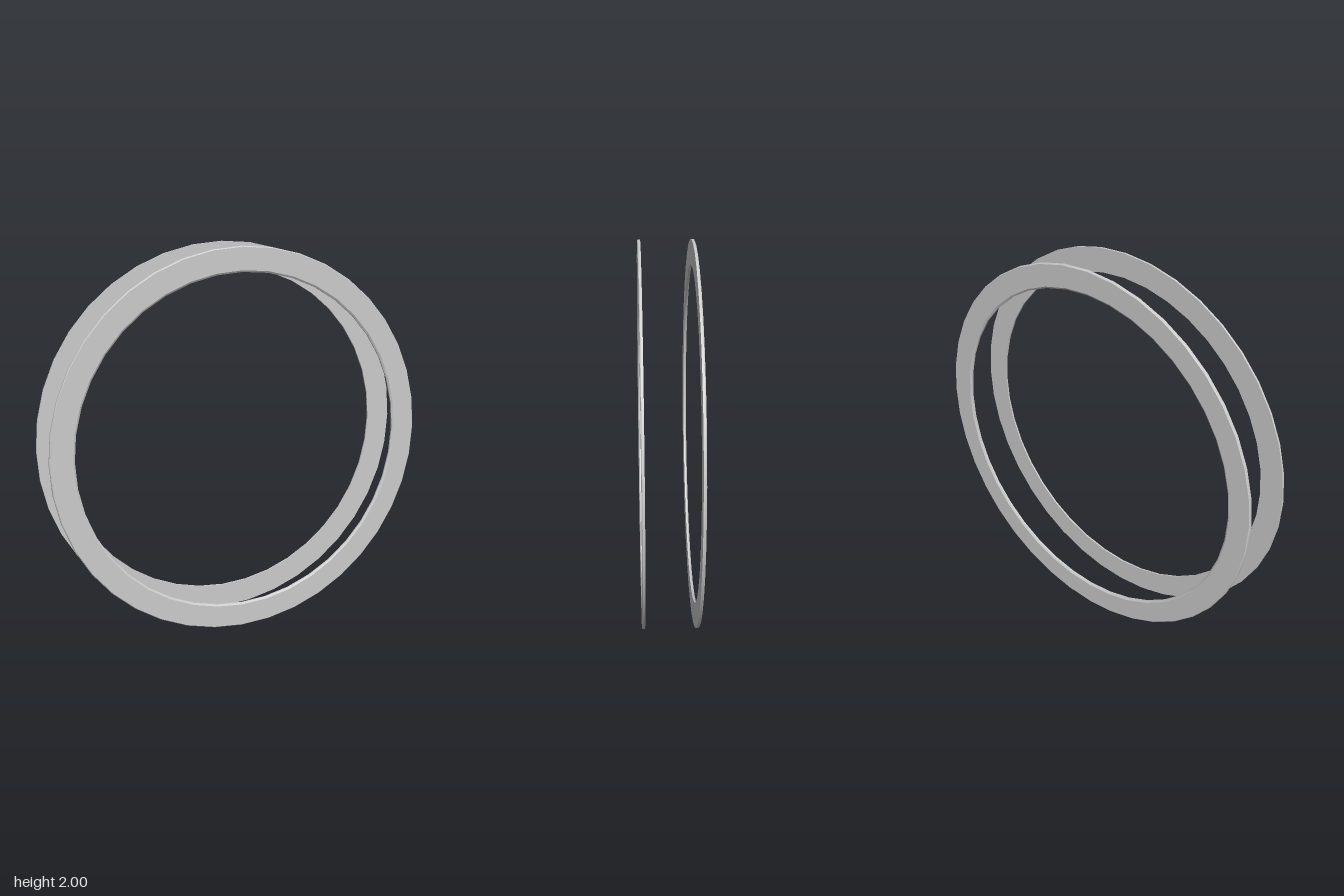
import * as THREE from 'three';
import { toCreasedNormals } from 'three/addons/utils/BufferGeometryUtils.js';

export function createModel() {
  const model = new THREE.Group();
  model.name = 'ringPair';
  const material = new THREE.MeshStandardMaterial({ color: 0xcccccc });

  // Closed cross-section (radius, depth): flat inward face, eased edges on the outward face
  const section = [
    [0.873, 0.128], [1, 0.128], [1, 0.139], [0.996, 0.143],
    [0.882, 0.143], [0.873, 0.137], [0.873, 0.128],
  ].map(([r, d]) => new THREE.Vector2(r, d));

  const lathe = new THREE.LatheGeometry(section, 40);
  lathe.rotateX(Math.PI / 2);
  const ringGeometry = toCreasedNormals(lathe, Math.PI / 7);

  // Two matching thin rings facing away from each other
  for (const [name, turn] of [['frontRing', 0], ['backRing', Math.PI]]) {
    const ring = new THREE.Mesh(ringGeometry, material);
    ring.name = name;
    ring.position.y = 1;
    ring.rotation.y = turn;
    model.add(ring);
  }
  return model;
}
